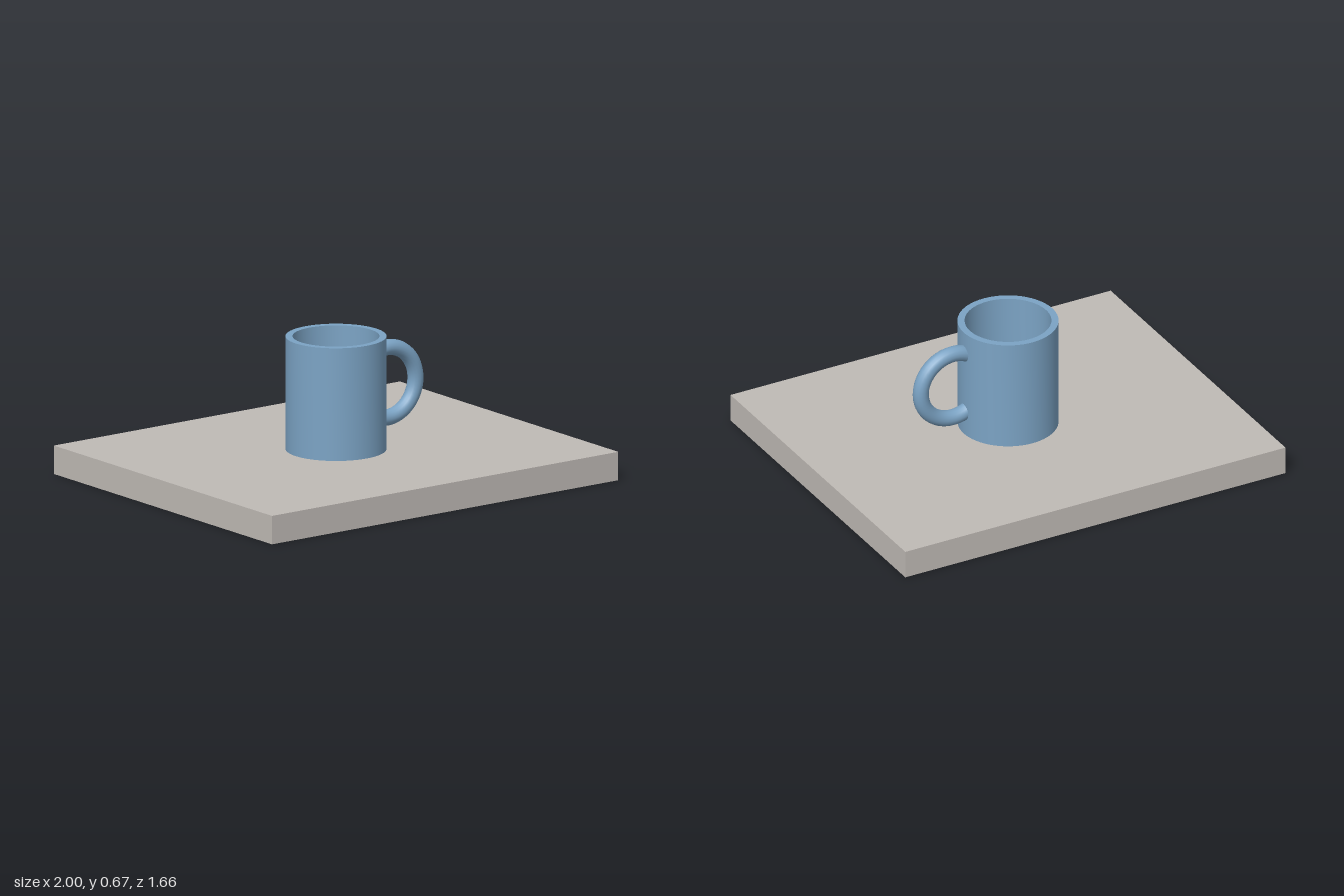
import * as THREE from 'three';
import { toCreasedNormals } from 'three/addons/utils/BufferGeometryUtils.js';

export function createModel() {
  const model = new THREE.Group();
  model.name = 'mugOnSlab';

  const stone = new THREE.MeshStandardMaterial({ name: 'warmGrey', color: 0xbfbab5 });
  const glaze = new THREE.MeshStandardMaterial({ name: 'softBlue', color: 0x7ba3c4 });

  const add = (name, geometry, material, x, y, z) => {
    const mesh = new THREE.Mesh(geometry, material);
    mesh.name = name;
    mesh.position.set(x, y, z);
    model.add(mesh);
  };

  // Flat slab under the mug
  const slabHeight = 0.135;
  add('slab', new THREE.BoxGeometry(2, slabHeight, 1.664), stone, 0, slabHeight / 2, 0);

  // Hollow mug body: outer wall, flat rim, inner wall and floor
  const outer = 0.233, inner = 0.2, height = 0.535, floor = 0.035;
  const profile = [
    [0, 0], [outer, 0], [outer, height], [inner, height], [inner, floor], [0, floor],
  ].map(([r, y]) => new THREE.Vector2(r, y));
  const body = toCreasedNormals(new THREE.LatheGeometry(profile, 64), Math.PI / 6);
  add('mugBody', body, glaze, 0, slabHeight, 0);

  // Full ring handle, passing through the wall on the +x side
  add('handle', new THREE.TorusGeometry(0.167, 0.0375, 16, 48), glaze, 0.292, 0.405, 0);

  return model;
}
